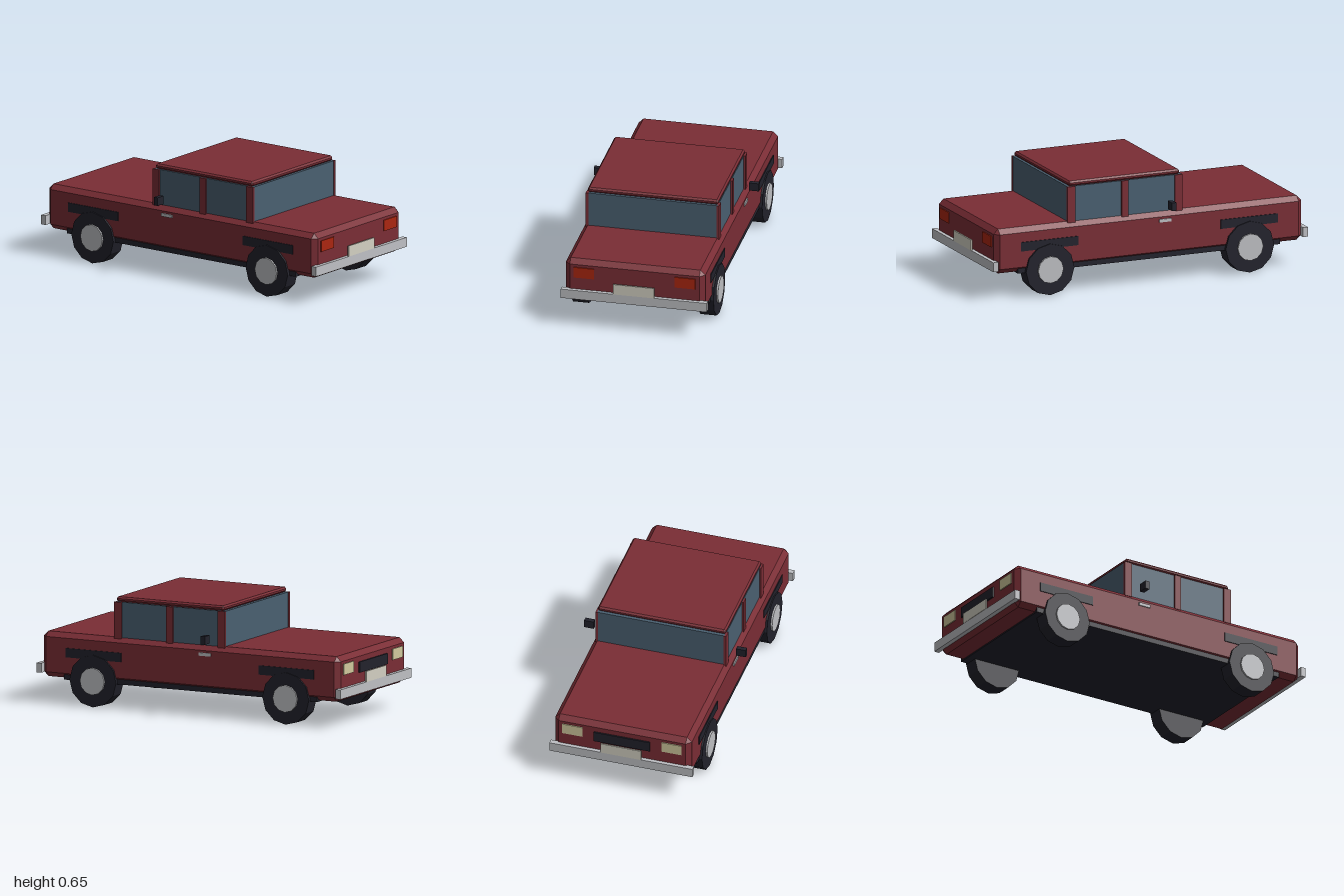
import * as THREE from 'three';
import { ConvexGeometry } from 'three/addons/geometries/ConvexGeometry.js';

const mat = (name, color) => {
  const m = new THREE.MeshStandardMaterial({ color, flatShading: true });
  m.name = name;
  return m;
};

export function createModel() {
  const car = new THREE.Group();
  car.name = 'car';
  const paint = mat('dark red paint', 0x7a2d35);
  const glass = mat('blue glass', 0x4a6071);
  const dark = mat('black rubber', 0x22222c);
  const chrome = mat('chrome', 0xbfc0c4);
  const plateMat = mat('plate cream', 0xd3d0c2);
  const headMat = mat('headlight cream', 0xd2ca9e);
  const tailMat = mat('tail light red', 0xaa2610);

  const add = (name, geometry, material, x = 0, y = 0, z = 0) => {
    const mesh = new THREE.Mesh(geometry, material);
    mesh.name = name;
    mesh.position.set(x, y, z);
    car.add(mesh);
    return mesh;
  };
  // Box given by its extents along each axis
  const box = (name, material, [x0, x1], [y0, y1], [z0, z1]) =>
    add(name, new THREE.BoxGeometry(x1 - x0, y1 - y0, z1 - z0), material,
      (x0 + x1) / 2, (y0 + y1) / 2, (z0 + z1) / 2);
  // Same extents on the left, mirrored to the right
  const pair = (name, material, [x0, x1], y, z) => {
    box(name + 'Left', material, [x0, x1], y, z);
    box(name + 'Right', material, [-x1, -x0], y, z);
  };
  // Box with every edge and corner cut off by b
  const chamferBox = (w, h, d, b) => {
    const pts = [];
    for (const i of [-1, 1]) for (const j of [-1, 1]) for (const k of [-1, 1]) {
      const x = w / 2, y = h / 2, z = d / 2;
      pts.push(new THREE.Vector3(i * x, j * (y - b), k * (z - b)),
        new THREE.Vector3(i * (x - b), j * y, k * (z - b)),
        new THREE.Vector3(i * (x - b), j * (y - b), k * z));
    }
    return new ConvexGeometry(pts);
  };

  // Body shell, floor and cabin
  add('body', chamferBox(0.826, 0.265, 1.95, 0.029), paint, 0, 0.286, 0);
  box('floor', dark, [-0.407, 0.407], [0.145, 0.175], [-0.83, 0.83]);
  box('cabinGlass', glass, [-0.386, 0.386], [0.41, 0.625], [-0.216, 0.507]);
  add('roof', chamferBox(0.774, 0.03, 0.705, 0.01), paint, 0, 0.64, 0.147);
  for (const [name, z] of [['rearPillar', [0.461, 0.51]], ['middlePillar', [0.124, 0.166]], ['frontPillar', [-0.219, -0.172]]])
    pair(name, paint, [0.38, 0.396], [0.41, 0.625], z);

  // Side fittings
  pair('mirror', dark, [0.431, 0.489], [0.438, 0.486], [-0.138, -0.11]);
  pair('doorHandle', chrome, [0.405, 0.42], [0.358, 0.376], [-0.137, -0.06]);

  // Wheels and arches
  const tyre = new THREE.CylinderGeometry(0.153, 0.153, 0.095, 12).rotateZ(Math.PI / 2);
  const hub = new THREE.CylinderGeometry(0.08, 0.08, 0.03, 12).rotateZ(Math.PI / 2);
  for (const [end, z] of [['rear', 0.633], ['front', -0.633]]) {
    pair(end + 'Arch', dark, [0.38, 0.418], [0.278, 0.332], [z - 0.181, z + 0.181]);
    for (const [side, s] of [['Left', 1], ['Right', -1]]) {
      add(end + 'Tyre' + side, tyre, dark, s * 0.3775, 0.153, z);
      add(end + 'Hub' + side, hub, chrome, s * 0.42, 0.153, z);
    }
  }

  // Bumpers, number plates and lamps at both ends
  const span = (s, a, b) => (s > 0 ? [a, b] : [-b, -a]);
  for (const [end, s, lamp] of [['rear', 1, tailMat], ['front', -1, headMat]]) {
    box(end + 'Bumper', chrome, [-0.433, 0.433], [0.178, 0.234], span(s, 0.966, 0.998));
    box(end + 'Plate', plateMat, [-0.122, 0.122], [0.234, 0.297], span(s, 0.991, 1));
    pair(end + 'Lamp', lamp, [0.239, 0.361], [0.308, 0.373], span(s, 0.972, 0.981));
  }
  box('grille', dark, [-0.17, 0.17], [0.295, 0.358], [-0.984, -0.975]);

  return car;
}
